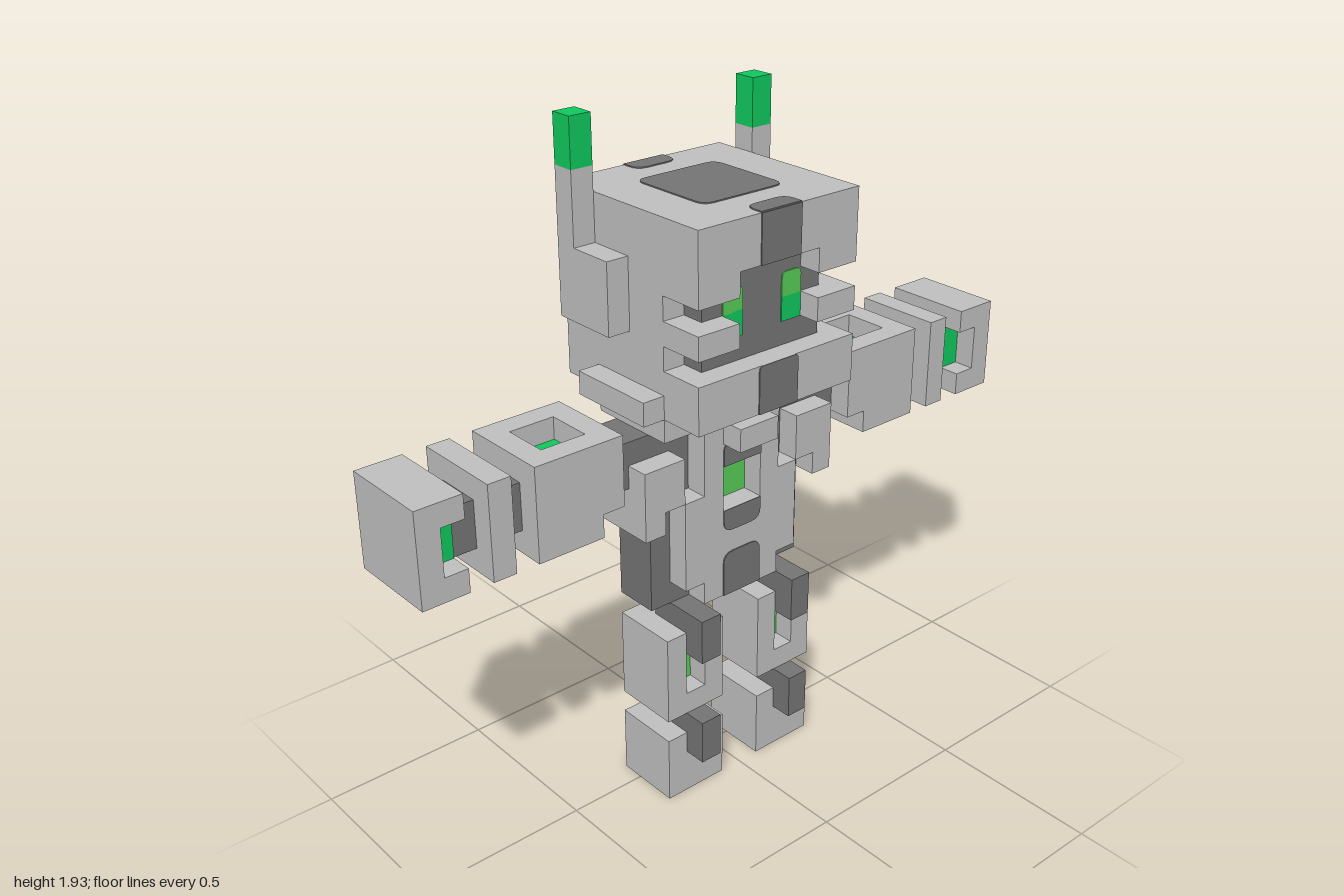
import * as THREE from 'three';

const U = 2 / 30; // one block
const mat = (name, color) => {
  const m = new THREE.MeshStandardMaterial({ color });
  m.name = name;
  return m;
};

export function createModel() {
  const model = new THREE.Group();
  model.name = 'blockRobot';
  const gray = mat('lightGray', 0xc0c0c0);
  const dark = mat('darkGray', 0x757575);
  const green = mat('brightGreen', 0x10c95e);
  const lime = mat('softGreen', 0x58cc58);

  const section = (name) => {
    const g = new THREE.Group();
    g.name = name;
    model.add(g);
    return g;
  };
  // Box from its bounds in blocks
  const box = (parent, name, m, x0, x1, y0, y1, z0, z1) => {
    const mesh = new THREE.Mesh(new THREE.BoxGeometry((x1 - x0) * U, (y1 - y0) * U, (z1 - z0) * U), m);
    mesh.position.set((x0 + x1) / 2 * U, (y0 + y1) / 2 * U, (z0 + z1) / 2 * U);
    mesh.name = name;
    parent.add(mesh);
  };
  // The same box on both sides of the body
  const pair = (parent, name, m, x0, x1, ...rest) => {
    box(parent, name + 'Left', m, x0, x1, ...rest);
    box(parent, name + 'Right', m, -x1, -x0, ...rest);
  };
  // Thin painted plate with optionally rounded top and bottom corners
  const plate = (parent, name, m, w, h, rTop, rBot, x, y, z, face) => {
    const s = new THREE.Shape(), a = w / 2, b = h / 2;
    s.moveTo(-a + rBot, -b);
    s.lineTo(a - rBot, -b);
    s.quadraticCurveTo(a, -b, a, -b + rBot);
    s.lineTo(a, b - rTop);
    s.quadraticCurveTo(a, b, a - rTop, b);
    s.lineTo(-a + rTop, b);
    s.quadraticCurveTo(-a, b, -a, b - rTop);
    s.lineTo(-a, -b + rBot);
    s.quadraticCurveTo(-a, -b, -a + rBot, -b);
    const geo = new THREE.ExtrudeGeometry(s, { depth: 0.05, bevelEnabled: false, curveSegments: 4 });
    const mesh = new THREE.Mesh(geo.scale(U, U, U), m);
    mesh.position.set(x * U, y * U, z * U);
    if (face === 'back') mesh.rotation.y = Math.PI;
    if (face === 'top') mesh.rotation.x = -Math.PI / 2;
    mesh.name = name;
    parent.add(mesh);
  };

  // Head: skull, recessed face, brow, cheek bars and jaw
  const head = section('head');
  box(head, 'skull', gray, -4, 4, 18, 26, -4, 2);
  box(head, 'forehead', gray, -4, 4, 24, 26, 2, 4);
  box(head, 'jaw', gray, -4, 4, 18, 20, 2, 4);
  box(head, 'face', dark, -3, 3, 20, 24, 2, 3);
  pair(head, 'brow', gray, 2, 4, 23, 24, 2, 4);
  pair(head, 'cheekBar', gray, 2, 4, 21, 22, 2, 4);
  for (const s of [-1, 1]) {
    plate(head, 'eyeTop', lime, 1, 1, 0.25, 0, s * 1.5, 22.5, 3, 'front');
    plate(head, 'eyeBottom', green, 1, 1.05, 0, 0, s * 1.5, 21.52, 3, 'front');
    plate(head, 'backOval', dark, 0.9, 1.5, 0.4, 0.4, s * 2.5, 24.25, -4, 'back');
  }
  plate(head, 'foreheadStripe', dark, 2, 2, 0, 0, 0, 25, 4, 'front');
  plate(head, 'chinStripe', dark, 2, 2, 0.2, 0, 0, 19, 4, 'front');
  plate(head, 'backStripeTop', dark, 2, 2.6, 0, 0.5, 0, 24.7, -4, 'back');
  plate(head, 'backStripeMiddle', dark, 2, 1.7, 0.5, 0.5, 0, 21.6, -4, 'back');
  plate(head, 'backStripeBottom', dark, 2, 2, 0.5, 0, 0, 19, -4, 'back');
  plate(head, 'crownPatch', dark, 4, 4, 0.5, 0.5, 0, 26, 0, 'top');
  plate(head, 'crownFront', dark, 2, 0.9, 0.5, 0, 0, 26, 3.55, 'top');
  plate(head, 'crownBack', dark, 2, 0.9, 0, 0.5, 0, 26, -3.55, 'top');

  // Ears with lit antennas
  const ears = section('ears');
  pair(ears, 'ear', gray, 4, 5, 21, 24, -3, 0);
  pair(ears, 'antenna', gray, 4, 5, 24, 27, -3, -2);
  pair(ears, 'antennaTip', green, 4, 5, 27, 29, -3, -2);

  // Torso: dark core between two notched armour plates
  const torso = section('torso');
  box(torso, 'core', dark, -3, 3, 9, 17, -1, 1);
  pair(torso, 'hip', dark, 3, 4, 9, 14, -1, 1);
  box(torso, 'neckBase', gray, -3, 3, 17, 18, -1, 1);
  const half = [[2, 9], [2, 10], [3, 10], [3, 14], [2, 14], [2, 17], [3, 17], [3, 18]];
  const outline = [...half, ...half.map(([x, y]) => [-x, y]).reverse()];
  for (const side of ['front', 'back']) {
    const shape = new THREE.Shape(outline.map(([x, y]) => new THREE.Vector2(x, y)));
    if (side === 'front') {
      const hole = [[-1, 13], [-1, 15], [1, 15], [1, 13]];
      shape.holes.push(new THREE.Path(hole.map(([x, y]) => new THREE.Vector2(x, y))));
    }
    const geo = new THREE.ExtrudeGeometry(shape, { depth: 1, bevelEnabled: false });
    const armour = new THREE.Mesh(geo.scale(U, U, U), gray);
    armour.position.z = (side === 'front' ? 1 : -2) * U;
    armour.name = side + 'Armour';
    torso.add(armour);
  }
  box(torso, 'chestKnob', gray, -1, 1, 16, 17, 2, 3);
  box(torso, 'backKnob', gray, -1, 1, 16, 17, -3, -2);
  plate(torso, 'chestLight', lime, 2, 2, 0, 0, 0, 14, 1, 'front');
  plate(torso, 'chestMarkTop', dark, 2, 1, 0.3, 0, 0, 15.5, 2, 'front');
  plate(torso, 'chestMarkMiddle', dark, 2, 1, 0, 0.5, 0, 12.5, 2, 'front');
  plate(torso, 'chestMarkBottom', dark, 2, 2, 0.5, 0, 0, 10, 2, 'front');
  plate(torso, 'backMarkTop', dark, 2, 0.9, 0.4, 0.4, 0, 14.4, -2, 'back');
  plate(torso, 'backMarkMiddle', dark, 2, 1, 0.4, 0.4, 0, 12.6, -2, 'back');
  plate(torso, 'backMarkBottom', dark, 2, 2, 0.5, 0, 0, 10, -2, 'back');

  // Shoulders: a slab above and a stepped guard below the arm
  const shoulders = section('shoulders');
  pair(shoulders, 'slab', gray, 3, 5, 18, 19, -2, 2);
  pair(shoulders, 'collar', gray, 3, 4, 17, 18, -2, 2);
  pair(shoulders, 'guardInner', gray, 3, 4, 14, 16, -2, 2);
  pair(shoulders, 'guardOuter', gray, 4, 5, 13, 16, -2, 2);

  // Arms: dark rod, forearm with a lit well on top, cuff and hand
  const arms = section('arms');
  pair(arms, 'rod', dark, 3, 13, 15, 17, -1, 1);
  pair(arms, 'forearm', gray, 7, 10, 14, 17, -2, 2);
  pair(arms, 'elbow', gray, 6, 7, 15, 18, -2, 2);
  pair(arms, 'wellOuter', gray, 9, 10, 17, 18, -2, 2);
  pair(arms, 'wellFront', gray, 7, 9, 17, 18, 1, 2);
  pair(arms, 'wellBack', gray, 7, 9, 17, 18, -2, -1);
  pair(arms, 'wellLight', green, 7, 9, 17, 17.05, -1, 1);
  pair(arms, 'cuff', gray, 11, 12, 14, 18, -2, 2);
  pair(arms, 'hand', gray, 14, 15, 14, 18, -2, 2);
  pair(arms, 'palmBottom', gray, 13, 14, 14, 15, -2, 2);
  pair(arms, 'palmTop', gray, 13, 14, 17, 18, -2, 2);
  pair(arms, 'palmBack', gray, 13, 14, 15, 17, -2, 1);
  pair(arms, 'palmLight', green, 13, 14, 15, 17, 1, 1.05);

  // Legs: shin with a lit slot, foot, and dark hooked joints
  const legs = section('legs');
  pair(legs, 'shinInner', gray, 1, 2, 4, 8, -1, 2);
  pair(legs, 'shinOuter', gray, 3, 4, 4, 8, -1, 2);
  pair(legs, 'shinBack', gray, 2, 3, 4, 8, -1, 1);
  pair(legs, 'shinSill', gray, 2, 3, 4, 5, 1, 2);
  pair(legs, 'shinLight', lime, 2, 3, 5, 8, 1, 1.05);
  pair(legs, 'foot', gray, 1, 4, 0, 3, -1, 2);
  for (const [name, y] of [['hipJoint', 8], ['ankleJoint', 3]]) {
    pair(legs, name, dark, 2, 3, y, y + 1, 0, 3);
    pair(legs, name + 'Hook', dark, 2, 3, y - 1, y, 2, 3);
  }
  return model;
}
